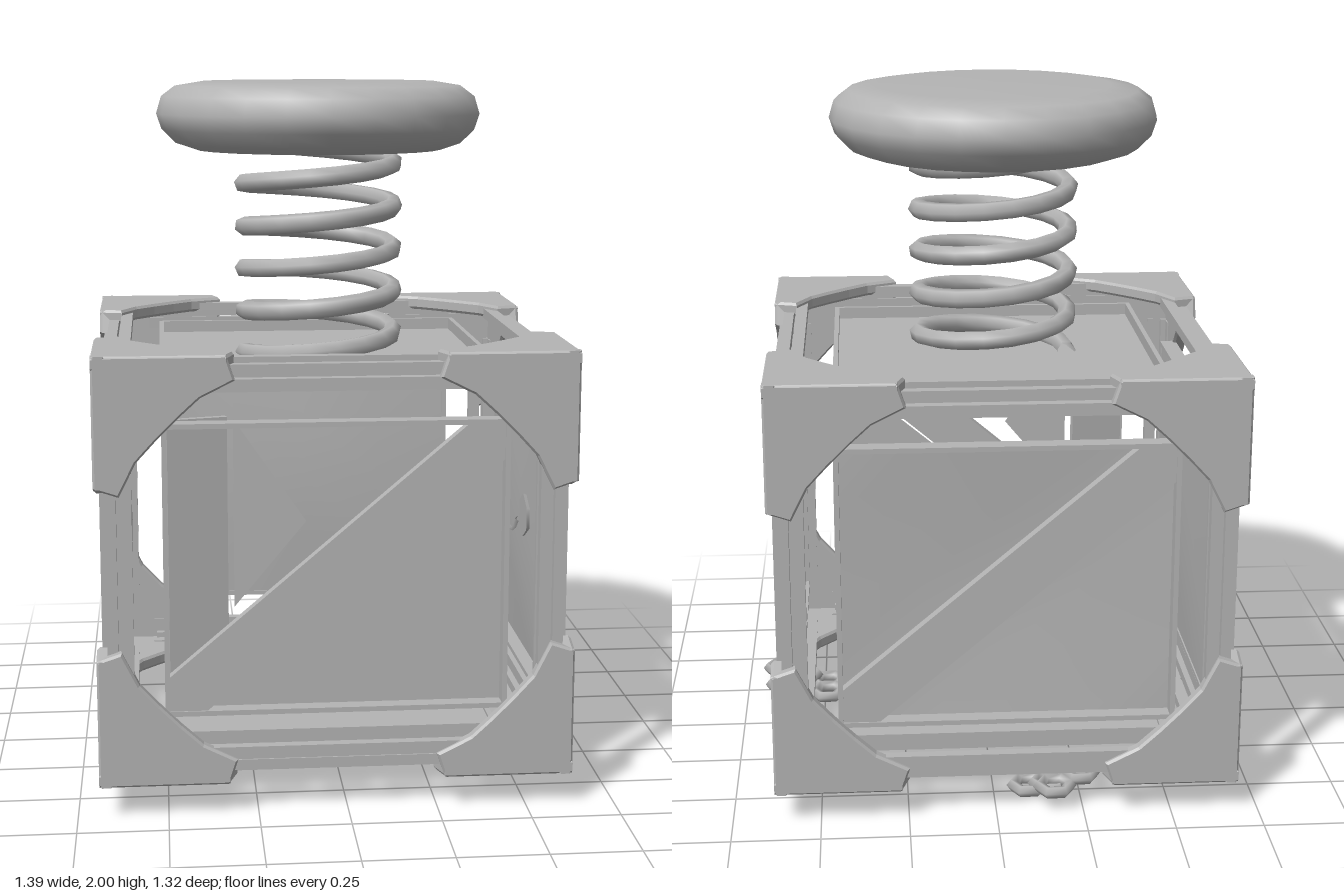
import * as THREE from 'three';

const CX = -0.03, CY = 0.69;

export function createModel() {
  const root = new THREE.Group();
  root.name = 'springCrate';
  const metal = new THREE.MeshStandardMaterial({ color: 0xb4b4b4, side: THREE.DoubleSide });
  metal.name = 'plain grey';

  function add(parent, name, geo, x = 0, y = 0, z = 0, rx = 0, ry = 0, rz = 0) {
    const m = new THREE.Mesh(geo, metal);
    m.name = name;
    m.position.set(x, y, z);
    m.rotation.set(rx, ry, rz);
    parent.add(m);
    return m;
  }
  const box = (w, h, d) => new THREE.BoxGeometry(w, h, d);
  function polygon(points) {
    return new THREE.Shape(points.map(p => new THREE.Vector2(p[0], p[1])));
  }

  // corner guard plate with a hollowed inner edge
  const guard = polygon([[0, 0], [0.35, 0], [0.37, 0.06], [0.28, 0.105], [0.22, 0.16],
    [0.16, 0.22], [0.105, 0.28], [0.06, 0.37], [0, 0.35]]);
  const guardGeo = new THREE.ExtrudeGeometry(guard, {
    depth: 0.025, bevelEnabled: true, bevelSize: 0.006, bevelThickness: 0.008, bevelSegments: 1
  });

  // diagonal brace between the lower left and upper right of a panel
  function brace(parent, w, h, z) {
    const a = 0.1;
    const geo = new THREE.ExtrudeGeometry(polygon([[-w, -h], [-w + a, -h], [w, h - a], [w, h],
      [w - a, h], [-w, -h + a]]), { depth: 0.035, bevelEnabled: false });
    add(parent, 'diagonalBrace', geo, 0, 0, z);
  }

  // dished panel sheet, with its middle pushed inward
  function sheet(parent, w, h, z, dip) {
    const geo = new THREE.PlaneGeometry(2 * w, 2 * h, 4, 4);
    const p = geo.attributes.position;
    for (let i = 0; i < p.count; i++) {
      const u = Math.abs(p.getX(i)) / w, v = Math.abs(p.getY(i)) / h;
      p.setZ(i, -dip * (1 - Math.max(u, v)));
    }
    geo.computeVertexNormals();
    add(parent, 'panelSheet', geo, 0, 0, z);
  }

  // one cage face: d = distance from centre, W and H = half sizes
  function face(name, rx, ry, d, W, H, w, h, rimZ) {
    const g = new THREE.Group();
    g.name = name;
    g.position.set(CX, CY, 0);
    g.rotation.set(rx, ry, 0);
    root.add(g);
    const corners = [[-1, -1], [1, -1], [1, 1], [-1, 1]];
    corners.forEach(([sx, sy], i) =>
      add(g, 'cornerGuard', guardGeo, sx * (W - 0.006), sy * (H - 0.006), d - 0.033, 0, 0, i * Math.PI / 2));
    for (const s of [-1, 1]) {
      add(g, 'cageRod', box(2 * W - 0.3, 0.035, 0.03), 0, s * (H - 0.085), d - 0.03);
      add(g, 'cageRod', box(0.035, 2 * H - 0.3, 0.03), s * (W - 0.085), 0, d - 0.03);
      add(g, 'panelRim', box(2 * w, 0.014, 0.05), 0, s * (h - 0.007), rimZ - 0.025);
      add(g, 'panelRim', box(0.014, 2 * h, 0.05), s * (w - 0.007), 0, rimZ - 0.025);
    }
    return g;
  }

  const PI = Math.PI, w = 0.475, h = 0.41;
  const front = face('frontFace', 0, 0, 0.66, 0.66, 0.6, w, h, 0.63);
  const right = face('boltedFace', 0, PI / 2, 0.66, 0.66, 0.6, w, h, 0.63);
  const back = face('backFace', 0, PI, 0.66, 0.66, 0.6, w, h, 0.63);
  const left = face('bracedSideFace', 0, -PI / 2, 0.66, 0.66, 0.6, w, h, 0.63);
  const top = face('topFace', -PI / 2, 0, 0.6, 0.66, 0.66, w, w, 0.54);
  const bottom = face('bottomFace', PI / 2, 0, 0.6, 0.66, 0.66, w, w, 0.56);

  // closed panels
  sheet(right, w, h, 0.62, 0.03);
  sheet(back, w, h, 0.585, 0.03);
  sheet(left, w, h, 0.585, 0.02);
  sheet(top, w, w, 0.505, 0);
  sheet(bottom, w, w, 0.52, 0);
  for (const f of [front, back, left]) brace(f, w, h, 0.59);

  // broken front panel: a lower sheet and loose planks
  const lower = polygon([[-0.38, -h], [w, -h], [w, 0.3]]);
  add(front, 'lowerSheet', new THREE.ShapeGeometry(lower), 0, 0, 0.585);
  const upper = polygon([[-0.28, h], [-0.08, 0.12], [-0.28, -0.12]]);
  add(front, 'tornSheet', new THREE.ShapeGeometry(upper), 0, 0, 0.56);
  add(front, 'loosePlank', box(0.17, 2 * h, 0.02), -0.38, 0, 0.54, 0, 0.25, 0);

  // inner rods along every cage edge
  for (const a of [-1, 1]) for (const b of [-1, 1]) {
    add(root, 'edgeRod', box(1.0, 0.03, 0.03), CX, CY + a * 0.555, b * 0.615);
    add(root, 'edgeRod', box(0.03, 0.9, 0.03), CX + a * 0.615, CY, b * 0.615);
    add(root, 'edgeRod', box(0.03, 0.03, 1.0), CX + a * 0.615, CY + b * 0.555, 0);
  }

  // ring, bolts and curved crack on the bolted side
  add(right, 'ring', new THREE.TorusGeometry(0.075, 0.036, 6, 10), 0, 0.4, 0.645);
  for (const s of [-1, 1]) {
    add(right, 'bolt', new THREE.CylinderGeometry(0.04, 0.066, 0.05, 6), s * 0.19, 0.035, 0.62, PI / 2);
  }
  add(right, 'curvedMark', new THREE.TorusGeometry(0.13, 0.015, 4, 6, PI * 0.6), 0, 0.08, 0.602, 0, 0, PI * 1.2);

  // coil spring
  class Helix extends THREE.Curve {
    getPoint(t, target = new THREE.Vector3()) {
      const a = PI - t * PI * 10;
      return target.set(CX + 0.222 * Math.cos(a), 1.2 + 0.625 * t, 0.222 * Math.sin(a));
    }
  }
  add(root, 'spring', new THREE.TubeGeometry(new Helix(), 90, 0.028, 6, false));

  // round cushion pad
  const pad = [[0, 1.8], [0.36, 1.8], [0.42, 1.82], [0.46, 1.86], [0.475, 1.905],
    [0.46, 1.955], [0.42, 1.985], [0.34, 1.998], [0, 2.0]];
  add(root, 'pad', new THREE.LatheGeometry(pad.map(p => new THREE.Vector2(p[0], p[1])), 24), CX);

  // loose links and nuts lying beneath the cage
  const link = new THREE.TorusGeometry(0.045, 0.018, 5, 6);
  const links = [[0.49, 0.15, 0.035], [0.49, 0.25, 0.025], [0.57, 0.25, 0.05], [0.628, 0.17, 0.055],
    [0.64, 0.3, 0.055], [-0.25, -0.51, 0.06], [-0.16, -0.53, 0.04], [-0.1, -0.51, 0.025], [-0.17, -0.59, 0.06]];
  for (const [x, z, y] of links) add(root, 'looseLink', link, x, y, z, PI / 2);
  add(root, 'looseNut', new THREE.CylinderGeometry(0.09, 0.07, 0.03, 6), -0.12, 0.06, 0.24);
  add(root, 'looseNut', new THREE.CylinderGeometry(0.06, 0.05, 0.04, 6), -0.1, 0.02, 0.2);

  return root;
}
